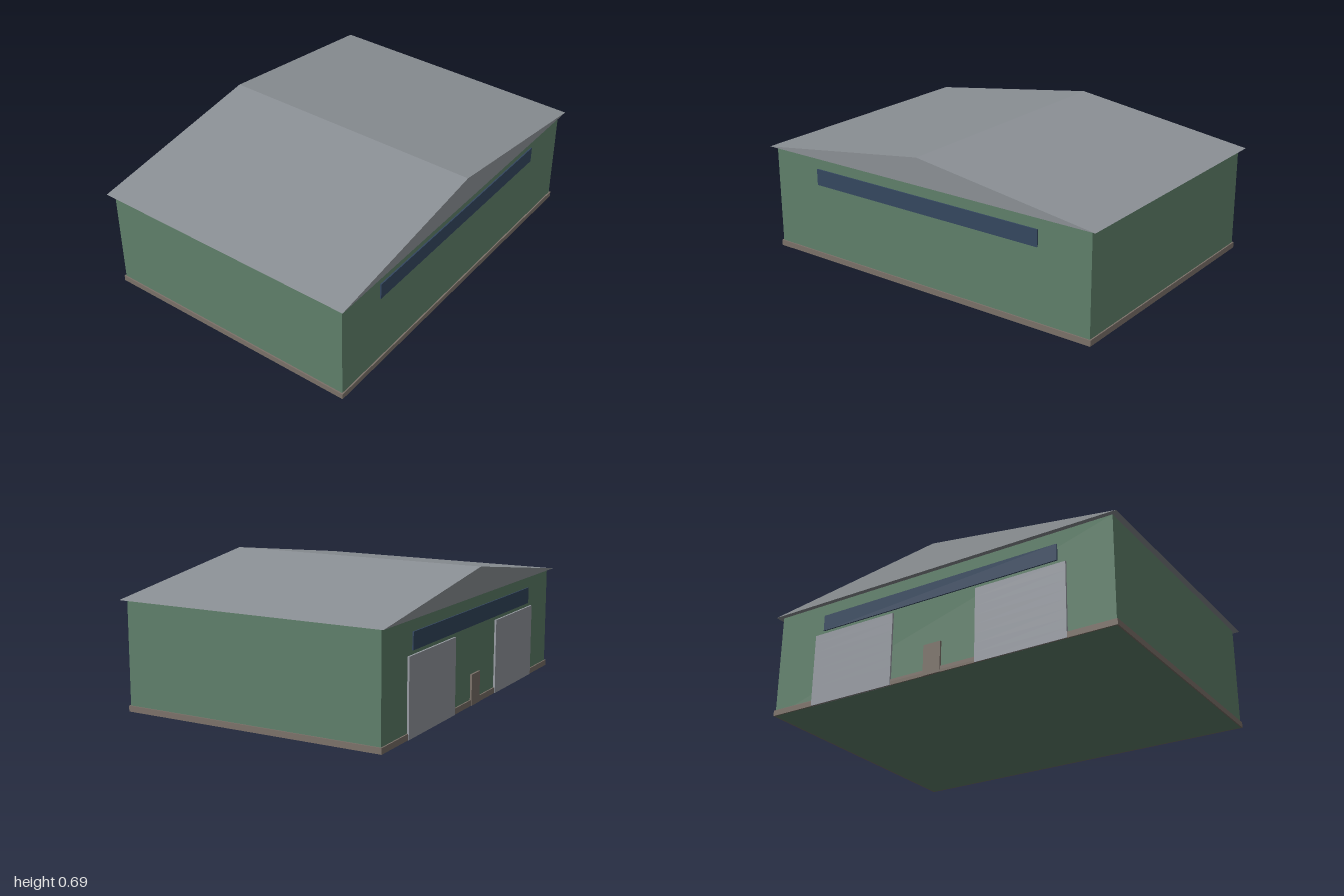
import * as THREE from 'three';

const mat = (name, color) => {
  const m = new THREE.MeshStandardMaterial({ color });
  m.name = name;
  return m;
};

export function createModel() {
  const green = mat('wall green', 0x5f7f6a);
  const grey = mat('roof grey', 0x8b9095);
  const steel = mat('shutter grey', 0x979ba2);
  const brown = mat('plinth brown', 0x7b7169);
  const navy = mat('window navy', 0x34475f);

  const model = new THREE.Group();
  model.name = 'warehouse';

  const add = (name, geometry, material, parent = model) => {
    const mesh = new THREE.Mesh(geometry, material);
    mesh.name = name;
    parent.add(mesh);
    return mesh;
  };
  // Box given by its centre in x and z, and its lower edge in y
  const box = (name, w, h, d, x, y, z, material, parent) =>
    add(name, new THREE.BoxGeometry(w, h, d), material, parent).position.set(x, y + h / 2, z);

  const wallX = 0.97, wallZ = 0.695, eaves = 0.555;
  box('walls', wallX * 2, eaves, wallZ * 2, 0, 0, 0, green);

  // Plinth: a low frame around the foot of the walls
  const rect = (Type, x, z) => new Type([[-x, -z], [x, -z], [x, z], [-x, z]].map(p => new THREE.Vector2(...p)));
  const frame = rect(THREE.Shape, 0.977, 0.702);
  frame.holes.push(rect(THREE.Path, wallX, wallZ));
  const plinth = new THREE.ExtrudeGeometry(frame, { depth: 0.03, bevelEnabled: false });
  add('plinth', plinth.rotateX(-Math.PI / 2), brown);

  // Low gable roof with overhang on all sides
  const gable = new THREE.Shape();
  gable.moveTo(-1, eaves).lineTo(1, eaves).lineTo(0, 0.695).closePath();
  const roof = new THREE.ExtrudeGeometry(gable, { depth: 1.44, bevelEnabled: false });
  add('roof', roof.translate(0, 0, -0.72), grey);

  // Long window strips at front and back
  for (const side of [1, -1]) {
    box(side > 0 ? 'frontWindow' : 'backWindow', 1.366, 0.085, 0.008, 0, 0.405, side * (wallZ + 0.003), navy);
  }

  // Two shutters of stacked slats on the back
  const slats = 8, slatHeight = 0.385 / slats;
  for (const side of [1, -1]) {
    const shutter = new THREE.Group();
    shutter.name = side > 0 ? 'leftShutter' : 'rightShutter';
    model.add(shutter);
    for (let i = 0; i < slats; i++) {
      box('slat', 0.487, slatHeight, 0.012, side * 0.485, i * slatHeight, -wallZ - 0.004, steel, shutter);
    }
  }

  // Small door between the shutters
  box('door', 0.097, 0.16, 0.012, 0, 0, -wallZ - 0.004, brown);

  return model;
}
